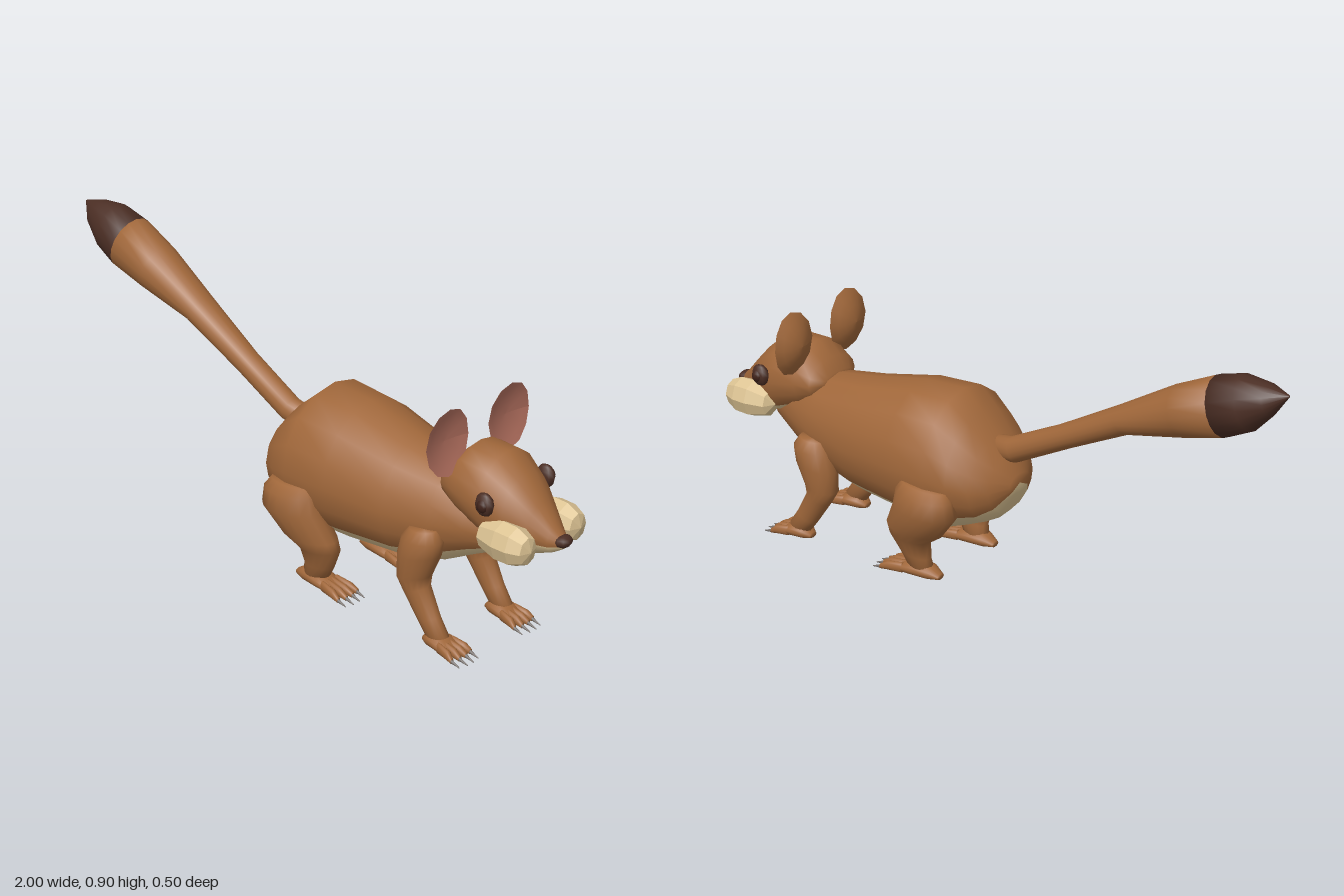
import * as THREE from 'three';

const mat = (name, color) => {
  const m = new THREE.MeshStandardMaterial({ color });
  m.name = name;
  return m;
};

// Angles around a cross-section, from the middle of the underside and back
const half = [-90, -65, -40, -20, 0, 22, 45, 68];
const angles = [...half, 90, ...half.slice(1).reverse().map(a => 180 - a)];

// Skin over oval rings [ax, ay, bx, by, halfWidth, zCentre]: a and b are the
// opposite ends of the oval in the side plane. paint(i, angle) picks a material.
function loft(name, rings, materials, paint = () => 0) {
  const pos = [], n = angles.length;
  for (const [ax, ay, bx, by, w, zc = 0] of rings) {
    for (const deg of angles) {
      const t = THREE.MathUtils.degToRad(deg), s = Math.sin(t) / 2;
      pos.push((ax + bx) / 2 + (ax - bx) * s, (ay + by) / 2 + (ay - by) * s, zc + w * Math.cos(t));
    }
  }
  const last = rings.length - 1;
  for (const r of [rings[0], rings[last]]) pos.push((r[0] + r[2]) / 2, (r[1] + r[3]) / 2, r[5] || 0);
  const faces = materials.map(() => []);
  for (let j = 0; j < n; j++) {
    const k = (j + 1) % n;
    const end = k === 0 ? 270 : angles[k];
    const mid = (angles[j] + end) / 2;
    const a = mid > 90 ? 180 - mid : mid;
    for (let i = 0; i < last; i++) {
      const p = i * n + j, q = i * n + k;
      faces[paint(i, a)].push(p, p + n, q, q, p + n, q + n);
    }
    faces[paint(0, a)].push(n * (last + 1), j, k);
    faces[paint(last - 1, a)].push(n * (last + 1) + 1, last * n + k, last * n + j);
  }
  const geo = new THREE.BufferGeometry();
  geo.setAttribute('position', new THREE.Float32BufferAttribute(pos, 3));
  geo.setIndex(faces.flat());
  let start = 0;
  faces.forEach((f, m) => {
    geo.addGroup(start, f.length, m);
    start += f.length;
  });
  geo.computeVertexNormals();
  const mesh = new THREE.Mesh(geo, materials.length > 1 ? materials : materials[0]);
  mesh.name = name;
  return mesh;
}

// Upright rings [x, top, bottom, halfWidth, zCentre]
const upright = list => list.map(([x, t, b, w, z]) => [x, t, x, b, w, z]);

function ball(name, material, x, y, z, sx, sy, sz) {
  const mesh = new THREE.Mesh(new THREE.SphereGeometry(1, 8, 6), material);
  mesh.name = name;
  mesh.position.set(x, y, z);
  mesh.scale.set(sx, sy, sz);
  return mesh;
}

// One face of a dished ear; dir 1 faces forward, -1 backward
function earFace(name, material, zc, dir) {
  const geo = new THREE.RingGeometry(0.001, 1, 12, 4);
  const p = geo.attributes.position;
  for (let i = 0; i < p.count; i++) {
    const u = p.getX(i), v = p.getY(i);
    const rim = 1 - Math.min(1, u * u + v * v);
    const x = 0.64 + 0.018 * u * u + 0.027 * v * v + dir * 0.012 * rim - 0.006 * rim;
    p.setXYZ(i, x, 0.648 + v * 0.102, zc - dir * u * 0.085);
  }
  geo.computeVertexNormals();
  const mesh = new THREE.Mesh(geo, material);
  mesh.name = name;
  return mesh;
}

// Paw with four spread toes and claws
function paw(name, heel, knuckle, tip, base, z, fur, claw) {
  const g = new THREE.Group();
  g.name = name;
  const len = knuckle - heel;
  g.add(loft('palm', upright([
    [heel, base + 0.03, base + 0.012, 0.016, z],
    [heel + len * 0.25, base + 0.052, base + 0.005, 0.032, z],
    [heel + len * 0.7, base + 0.05, base + 0.004, 0.04, z],
    [knuckle + 0.01, base + 0.028, base + 0.006, 0.036, z],
  ]), [fur]));
  for (const k of [-1.5, -0.5, 0.5, 1.5]) {
    const z0 = z + k * 0.019, z1 = z + k * 0.026;
    const end = tip - 0.028 - Math.abs(k) * 0.007;
    g.add(loft('toe', upright([
      [knuckle - 0.025, base + 0.042, base + 0.008, 0.009, z0],
      [(knuckle + end) / 2, base + 0.034, base + 0.005, 0.012, (z0 + z1) / 2],
      [end, base + 0.02, base + 0.003, 0.007, z1],
    ]), [fur]));
    g.add(loft('claw', upright([
      [end - 0.006, base + 0.018, base + 0.005, 0.006, z1],
      [end + 0.03, base + 0.003, base, 0.001, z1],
    ]), [claw]));
  }
  return g;
}

export function createModel() {
  const fur = mat('brown fur', 0xa0673a), cream = mat('cream fur', 0xdcc393);
  const dark = mat('dark tail fur', 0x4b2e24), pink = mat('ear pink', 0xb3705f);
  const eyeMat = mat('eye brown', 0x40231a), claw = mat('claw grey', 0x77706c);
  const model = new THREE.Group();
  model.name = 'rodent';

  // Trunk and neck, cream along the belly
  model.add(loft('body', upright([
    [-0.105, 0.39, 0.33, 0.05], [-0.07, 0.445, 0.26, 0.11], [-0.03, 0.49, 0.222, 0.155],
    [0.03, 0.55, 0.195, 0.19], [0.1, 0.61, 0.165, 0.21], [0.25, 0.6, 0.17, 0.202],
    [0.45, 0.555, 0.185, 0.168], [0.6, 0.53, 0.225, 0.14], [0.7, 0.5, 0.28, 0.11],
    [0.8, 0.43, 0.33, 0.06],
  ]), [fur, cream], (i, a) => (a < -40 ? 1 : 0)));

  // Head with a cream jaw
  model.add(loft('head', upright([
    [0.59, 0.535, 0.49, 0.07], [0.62, 0.575, 0.44, 0.108], [0.67, 0.62, 0.4, 0.123],
    [0.77, 0.62, 0.355, 0.125], [0.84, 0.572, 0.348, 0.102], [0.9, 0.51, 0.355, 0.068],
    [0.95, 0.455, 0.375, 0.038], [0.98, 0.428, 0.395, 0.018],
  ]), [fur, cream], (i, a) => (a < (i > 3 ? -20 : -40) && i > 1 ? 1 : 0)));
  model.add(ball('nose', dark, 0.977, 0.418, 0, 0.023, 0.018, 0.03));

  // Tail: dark tip, then the brown length
  const seam = [-0.765, 0.88, -0.82, 0.71, 0.082];
  model.add(loft('tailTip', [
    [-1, 0.882, -1, 0.876, 0.004], [-0.93, 0.9, -0.955, 0.81, 0.048],
    [-0.85, 0.905, -0.9, 0.75, 0.072], seam,
  ], [dark]));
  model.add(loft('tail', [
    seam, [-0.64, 0.82, -0.69, 0.675, 0.077], [-0.45, 0.705, -0.5, 0.63, 0.056],
    [-0.25, 0.59, -0.29, 0.525, 0.04], [-0.07, 0.5, -0.1, 0.425, 0.036],
    [0, 0.49, -0.01, 0.41, 0.035],
  ], [fur]));

  // Faceted cheek pouch profile
  const pouch = new THREE.LatheGeometry([[0, -0.095], [0.7, -0.075], [1, -0.01], [0.98, 0.04], [0.68, 0.08], [0, 0.092]]
    .map(([r, h]) => new THREE.Vector2(r, h)), 8).rotateZ(-Math.PI / 2).scale(1, 0.06, 0.052).toNonIndexed();
  pouch.computeVertexNormals();

  for (const s of [1, -1]) {
    const side = s > 0 ? 'left' : 'right';
    const cheek = new THREE.Mesh(pouch, cream);
    cheek.name = side + 'Cheek';
    cheek.position.set(0.86, 0.41, s * 0.104);
    model.add(cheek);
    model.add(ball(side + 'Eye', dark, 0.8, 0.51, s * 0.127, 0.032, 0.035, 0.02));
    model.add(ball(side + 'Pupil', eyeMat, 0.803, 0.51, s * 0.138, 0.018, 0.02, 0.016));
    model.add(earFace(side + 'EarInner', pink, s * 0.126, 1));
    model.add(earFace(side + 'EarOuter', fur, s * 0.126, -1));

    // Legs run from the shoulder or hip down to the ankle
    model.add(loft(side + 'FrontLeg', [
      [0.63, 0.365, 0.54, 0.358, 0.035], [0.65, 0.335, 0.515, 0.325, 0.054],
      [0.643, 0.29, 0.5, 0.265, 0.055], [0.61, 0.215, 0.498, 0.195, 0.047],
      [0.605, 0.18, 0.525, 0.15, 0.038], [0.65, 0.1, 0.58, 0.07, 0.028],
      [0.685, 0.05, 0.615, 0.025, 0.026],
    ].map(r => [...r, s * 0.135]), [fur]));
    model.add(loft(side + 'BackLeg', [
      [0.19, 0.36, 0.03, 0.352, 0.035, 0.185], [0.207, 0.335, 0.01, 0.325, 0.058, 0.185],
      [0.22, 0.28, 0, 0.27, 0.07, 0.18], [0.262, 0.2, 0.065, 0.19, 0.06, 0.163],
      [0.265, 0.165, 0.12, 0.15, 0.046, 0.152], [0.235, 0.1, 0.125, 0.09, 0.031, 0.141],
      [0.205, 0.05, 0.115, 0.04, 0.03, 0.135],
    ].map(r => [...r.slice(0, 5), s * r[5]]), [fur]));
    model.add(paw(side + 'FrontPaw', 0.6, 0.7, 0.775, 0, s * 0.133, fur, claw));
    model.add(paw(side + 'BackPaw', 0.09, 0.24, 0.33, 0.018, s * 0.135, fur, claw));
  }
  return model;
}
